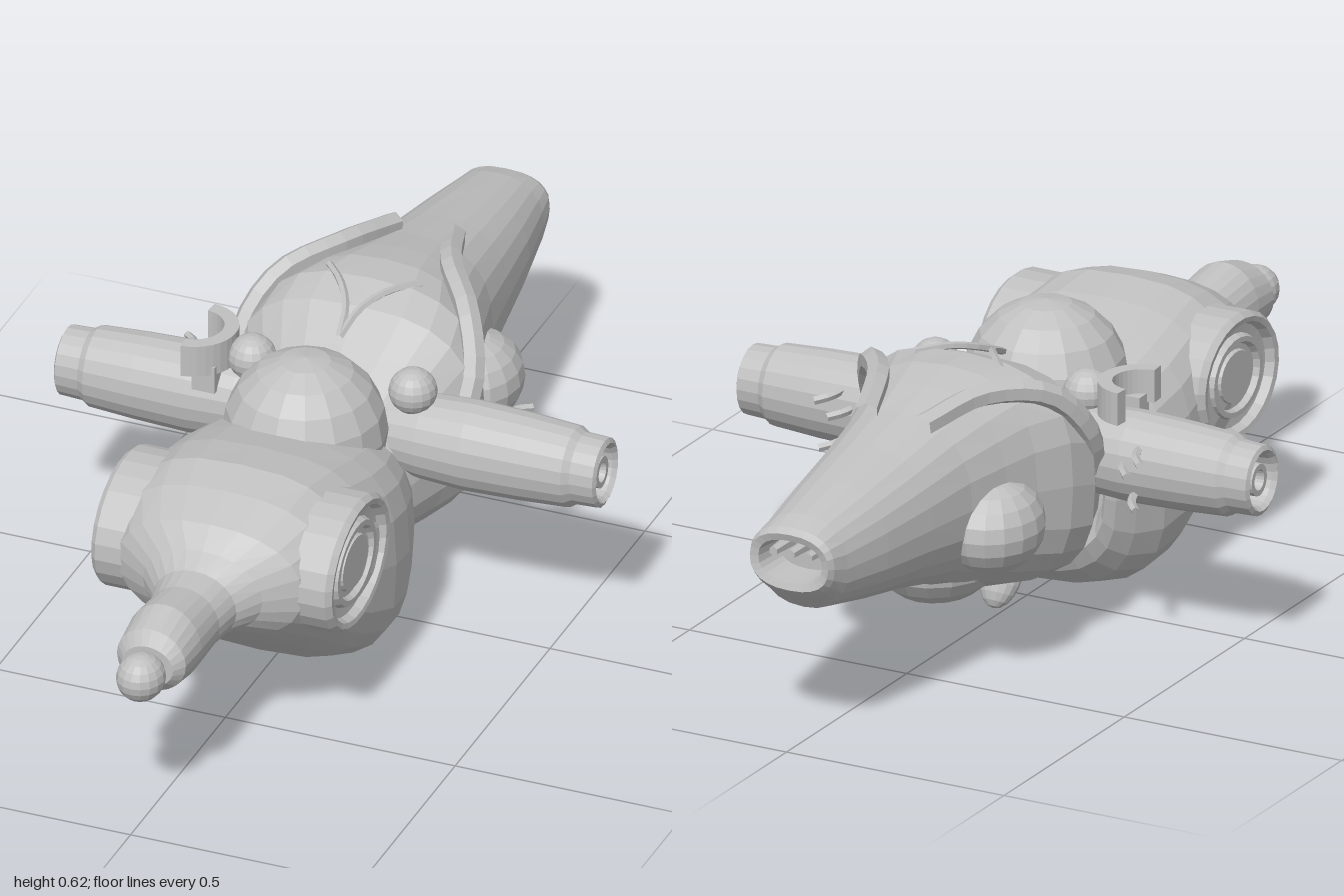
import * as THREE from 'three';

const grey = new THREE.MeshStandardMaterial({ color: 0xc0c0c0, flatShading: true });
grey.name = 'grey';

// Closed skin through sections [z, bottom, top, halfWidth, squareness], ordered front to back
function loft(sections, sides = 24) {
  const pos = [], idx = [];
  for (const [z, bottom, top, w, n] of sections) {
    const cy = (bottom + top) / 2, h = (top - bottom) / 2;
    for (let j = 0; j < sides; j++) {
      const a = (j / sides) * Math.PI * 2, c = Math.cos(a), s = Math.sin(a);
      pos.push(w * Math.sign(c) * Math.abs(c) ** (2 / n), cy + h * Math.sign(s) * Math.abs(s) ** (2 / n), z);
    }
  }
  for (let i = 0; i < sections.length - 1; i++) {
    for (let j = 0; j < sides; j++) {
      const a = i * sides + j, b = i * sides + (j + 1) % sides;
      idx.push(a, a + sides, b, b, a + sides, b + sides);
    }
  }
  const last = (sections.length - 1) * sides;
  for (let j = 1; j < sides - 1; j++) {
    idx.push(0, j, j + 1);
    idx.push(last, last + j + 1, last + j);
  }
  const g = new THREE.BufferGeometry();
  g.setAttribute('position', new THREE.Float32BufferAttribute(pos, 3));
  g.setIndex(idx);
  g.computeVertexNormals();
  return g;
}

// Lathe whose axis points sideways (side = +1 or -1)
function sideLathe(profile, side, segments = 20) {
  const g = new THREE.LatheGeometry(profile.map(([r, h]) => new THREE.Vector2(r, h)), segments);
  return g.rotateZ(-side * Math.PI / 2);
}

function tube(points, radius, segments = 10, sides = 6) {
  const curve = new THREE.CatmullRomCurve3(points.map((p) => new THREE.Vector3(...p)));
  return new THREE.TubeGeometry(curve, segments, radius, sides);
}

export function createModel() {
  const model = new THREE.Group();
  model.name = 'model';
  const add = (name, geometry, p = [0, 0, 0], s = [1, 1, 1]) => {
    const m = new THREE.Mesh(geometry, grey);
    m.name = name;
    m.position.set(...p);
    m.scale.set(...s);
    model.add(m);
    return m;
  };
  const ball = (name, p, s) => add(name, new THREE.SphereGeometry(1, 16, 10), p, s);

  // Front shell with snout, ending in a recessed back rim
  add('frontShell', loft([
    [0.91, 0.30, 0.39, 0.055, 2], [0.89, 0.28, 0.42, 0.075, 2], [0.82, 0.265, 0.44, 0.08, 2],
    [0.72, 0.27, 0.425, 0.078, 2], [0.66, 0.275, 0.43, 0.09, 2], [0.62, 0.275, 0.455, 0.13, 2.1],
    [0.58, 0.25, 0.495, 0.2, 2.3], [0.5, 0.19, 0.53, 0.235, 2.6], [0.42, 0.13, 0.548, 0.243, 2.8],
    [0.32, 0.06, 0.535, 0.25, 3], [0.22, 0.012, 0.51, 0.257, 3], [0.13, 0, 0.485, 0.248, 3],
    [0.05, 0.02, 0.46, 0.225, 2.8], [0, 0.06, 0.42, 0.205, 2.6], [-0.02, 0.1, 0.4, 0.19, 2.5],
    [0, 0.11, 0.39, 0.175, 2.5], [0.05, 0.13, 0.37, 0.15, 2.5],
  ]));
  ball('noseTip', [0, 0.34, 0.945], [0.05, 0.05, 0.055]);
  ball('topDome', [0, 0.445, 0.08], [0.168, 0.168, 0.17]);

  // Rear body, tapering to an open mouth
  add('rearBody', loft([
    [0.04, 0.16, 0.4, 0.15, 2.4], [-0.04, 0.12, 0.47, 0.19, 2.5], [-0.12, 0.115, 0.53, 0.225, 2.7],
    [-0.19, 0.12, 0.585, 0.262, 2.8], [-0.26, 0.125, 0.612, 0.25, 2.8], [-0.34, 0.14, 0.612, 0.212, 2.6],
    [-0.42, 0.165, 0.595, 0.187, 2.5], [-0.52, 0.205, 0.57, 0.162, 2.4], [-0.65, 0.235, 0.543, 0.145, 2.3],
    [-0.8, 0.262, 0.515, 0.125, 2.3], [-0.93, 0.29, 0.49, 0.103, 2.3], [-0.975, 0.33, 0.475, 0.097, 2.4],
    [-0.99, 0.345, 0.465, 0.09, 2.4], [-0.985, 0.36, 0.45, 0.073, 2.4], [-0.91, 0.365, 0.445, 0.065, 2.4],
  ]));
  for (const x of [-0.04, 0, 0.04]) {
    add('mouthProng', new THREE.CylinderGeometry(0.01, 0.015, 0.075, 6).rotateX(-Math.PI / 2), [x, 0.42, -0.945]);
  }
  ball('bellyBulge', [0, 0.225, -0.37], [0.13, 0.105, 0.15]);
  const foot = ball('bellyFoot', [0, 0.085, -0.105], [0.045, 0.075, 0.036]);
  foot.rotation.x = 0.5;

  for (const side of [1, -1]) {
    const label = side > 0 ? 'left' : 'right';

    // Ringed side port
    const port = add(label + 'Port', sideLathe([
      [1, -0.07], [1, 0.01], [0.93, 0.022], [0.85, 0.02], [0.8, 0.002], [0.66, 0], [0.62, 0.014],
      [0.54, 0.014], [0.5, 0.002], [0.42, 0.002], [0.4, 0.01], [0, 0.01],
    ], side, 24), [side * 0.24, 0.375, 0.42], [1, 0.135, 0.165]);
    port.rotation.x = 0.1;

    // Barrel arm with a hollow ringed end
    add(label + 'Arm', sideLathe([
      [0.075, 0.1], [0.09, 0.2], [0.096, 0.3], [0.092, 0.42], [0.086, 0.52], [0.076, 0.535],
      [0.074, 0.585], [0.064, 0.59], [0.056, 0.58], [0.052, 0.545], [0.036, 0.545], [0.034, 0.58],
      [0.022, 0.58], [0.018, 0.55], [0, 0.55],
    ], side), [0, 0.385, -0.083], [1, 1, 0.92]);
    ball(label + 'ShoulderKnob', [side * 0.175, 0.495, -0.065], [0.05, 0.048, 0.05]);
    ball(label + 'SideBall', [side * 0.16, 0.325, -0.425], [0.1, 0.097, 0.12]);

    // Raised collar sweeping over the rear body
    add(label + 'CollarRidge', tube([
      [side * 0.235, 0.36, -0.14], [side * 0.25, 0.47, -0.2], [side * 0.205, 0.565, -0.28],
      [side * 0.12, 0.59, -0.4], [side * 0.065, 0.565, -0.55],
    ], 0.025, 14));

    // Thin forked ridge on the back
    add(label + 'BackFork', tube([
      [0, 0.56, -0.1], [side * 0.015, 0.59, -0.17], [side * 0.05, 0.607, -0.23], [side * 0.1, 0.605, -0.29],
    ], 0.008, 8, 5));

    // Small hooks behind the arm
    for (const [x, y] of [[0.31, 0.4], [0.34, 0.43], [0.33, 0.33]]) {
      add(label + 'ArmHook', tube([
        [side * x, y, -0.15], [side * (x + 0.012), y - 0.005, -0.185], [side * (x + 0.035), y - 0.01, -0.21],
      ], 0.009, 5, 5));
    }
  }

  // Open clip standing on the right arm
  const clip = new THREE.Shape();
  clip.absarc(0, 0, 0.09, -1.5, 1.5, false);
  clip.absarc(0, 0, 0.06, 1.5, -1.5, true);
  const clipGeo = new THREE.ExtrudeGeometry(clip, { depth: 0.07, bevelEnabled: false, curveSegments: 8 });
  add('armClip', clipGeo.rotateX(-Math.PI / 2), [-0.3, 0.472, -0.065]);
  add('clipFoot', new THREE.BoxGeometry(0.05, 0.06, 0.04), [-0.255, 0.46, -0.02]);

  return model;
}
